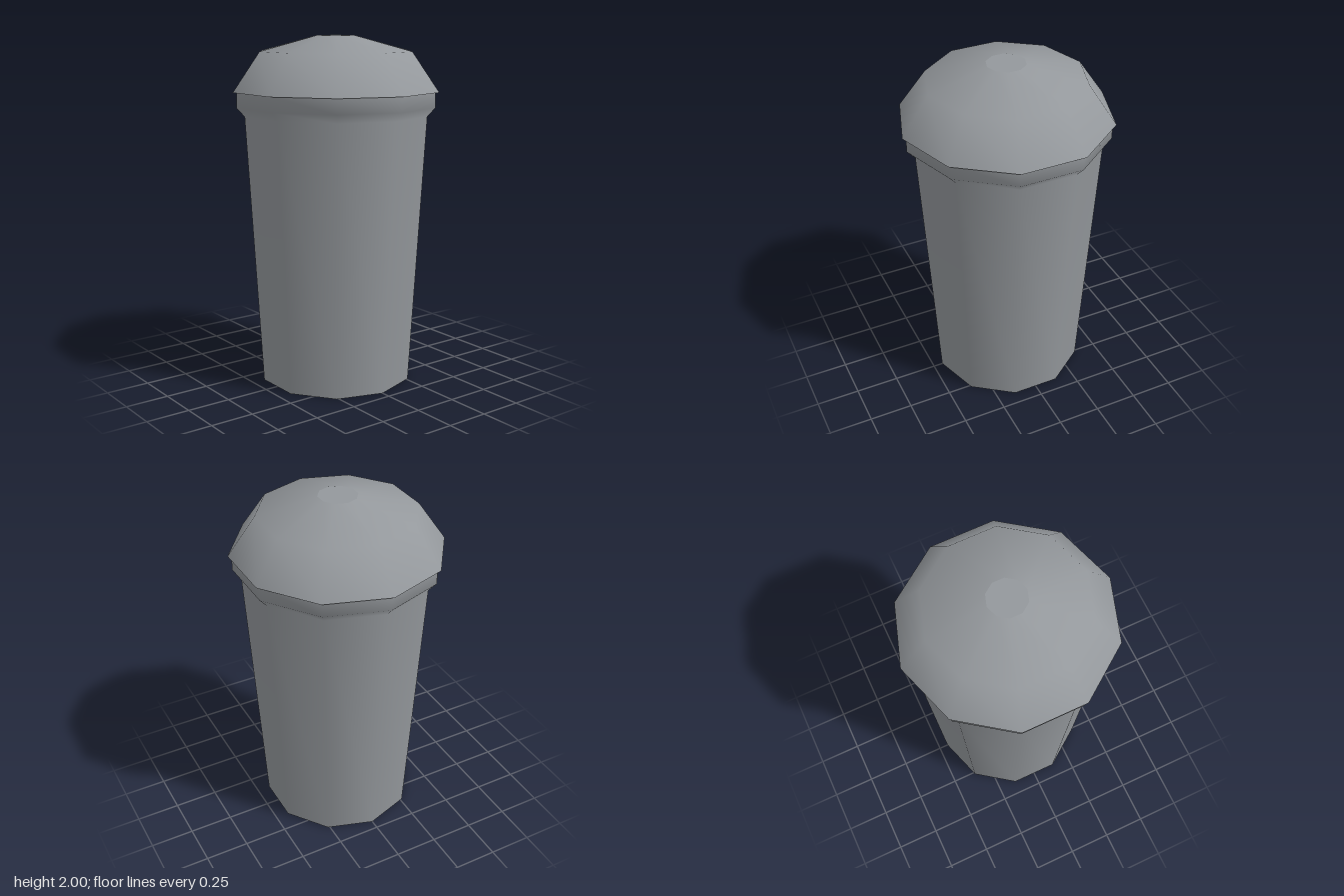
import * as THREE from 'three';

const SIDES = 10;

export function createModel() {
  const model = new THREE.Group();
  const grey = new THREE.MeshStandardMaterial({ color: 0x94989c });
  grey.name = 'grey';

  // Ten-sided turned part; each profile is [radius, height], smooth within itself
  const turn = (name, profile) => {
    const points = profile.map(([r, y]) => new THREE.Vector2(r, y));
    const mesh = new THREE.Mesh(new THREE.LatheGeometry(points, SIDES, Math.PI / 2), grey);
    mesh.name = name;
    model.add(mesh);
  };

  // Tapered container with a flared collar
  turn('base', [[0, 0], [0.445, 0]]);
  turn('body', [[0.445, 0], [0.535, 1.555], [0.58, 1.605], [0.58, 1.69]]);

  // Overhanging domed lid with a small flat top
  turn('lidUnderside', [[0, 1.69], [0.6, 1.69]]);
  turn('lid', [[0.6, 1.69], [0.445, 1.912], [0.11, 2]]);
  turn('lidTop', [[0.11, 2], [0, 2]]);

  return model;
}
